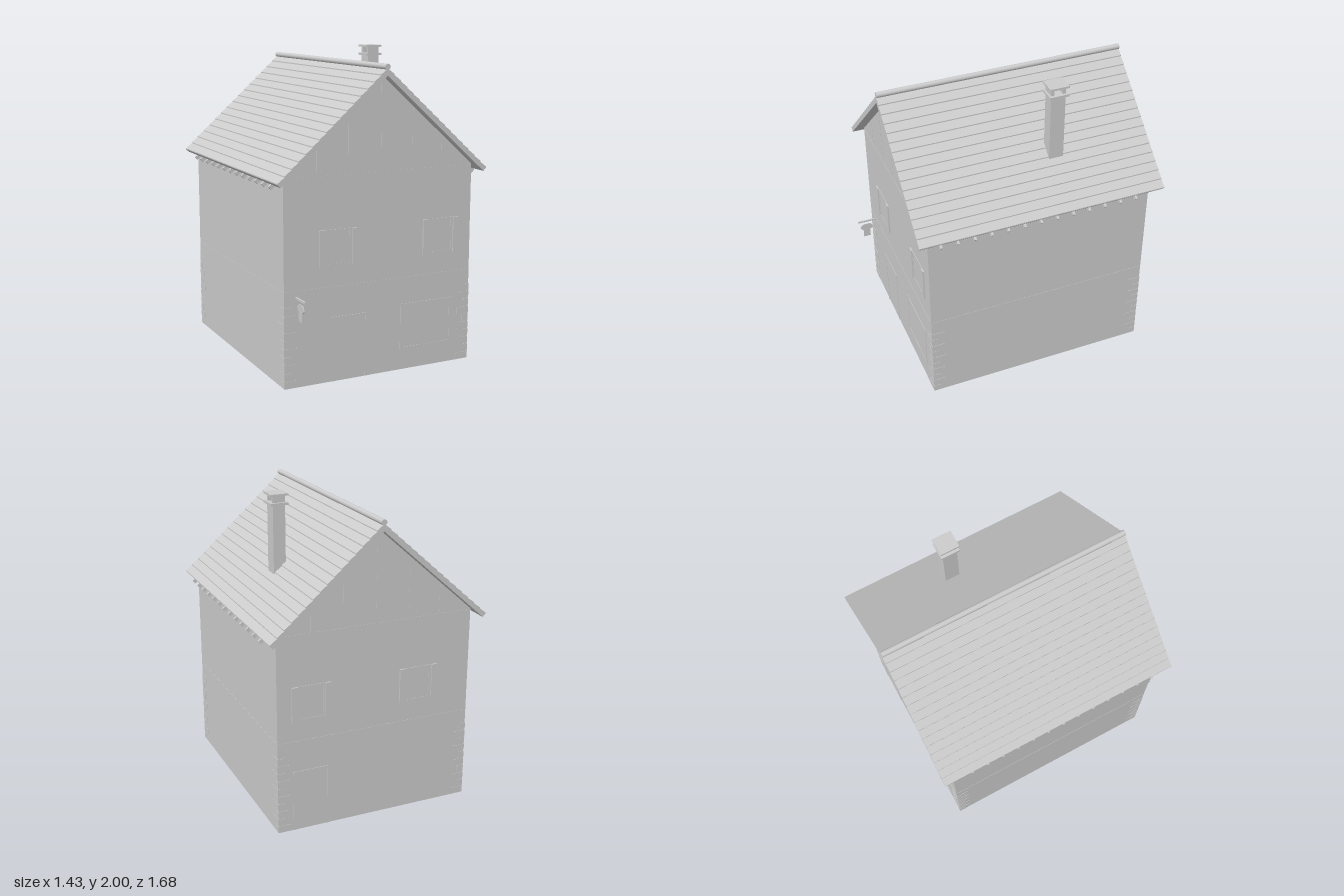
import * as THREE from 'three';

export function createModel() {
  const house = new THREE.Group();
  house.name = 'house';
  const grey = new THREE.MeshStandardMaterial({ color: 0xcccccc, side: THREE.DoubleSide });
  grey.name = 'plain grey';

  const W = 0.65, FRONT = 0.715, BACK = -0.765, T = 0.02;
  const MID = (FRONT + BACK) / 2, SLOPE = 0.887, PEAK = 1.862;

  function add(name, geometry, parent = house) {
    const mesh = new THREE.Mesh(geometry, grey);
    mesh.name = name;
    parent.add(mesh);
    return mesh;
  }
  // Box given by its lower and upper limits on each axis
  function box(name, x0, x1, y0, y1, z0, z1, parent) {
    const m = add(name, new THREE.BoxGeometry(x1 - x0, y1 - y0, z1 - z0), parent);
    m.position.set((x0 + x1) / 2, (y0 + y1) / 2, (z0 + z1) / 2);
    return m;
  }
  function extrude(points, depth) {
    const shape = new THREE.Shape(points.map(([x, y]) => new THREE.Vector2(x, y)));
    return new THREE.ExtrudeGeometry(shape, { depth, bevelEnabled: false });
  }

  // Hollow walls, open underneath
  const eave = PEAK - SLOPE * W;
  const gable = [[-W, 0], [W, 0], [W, eave], [0, PEAK], [-W, eave]];
  add('frontWall', extrude(gable, T)).position.z = FRONT - T;
  add('backWall', extrude(gable, T)).position.z = BACK;
  for (const s of [-1, 1]) {
    const a = s * W, b = s * (W - T);
    box('sideWall', Math.min(a, b), Math.max(a, b), 0, eave, BACK + T, FRONT - T);
    // Ledge carrying the upper floor
    const c = s * (W - T - 0.02);
    box('sideLedge', Math.min(b, c), Math.max(b, c), 0.57, 0.6, BACK + T, FRONT - T);
  }
  box('frontLedge', -W + T, W - T, 0.57, 0.6, FRONT - T - 0.02, FRONT - T);
  box('backLedge', -W + T, W - T, 0.57, 0.6, BACK + T, BACK + T + 0.02);

  // Hairline joints between storeys and on the gables
  for (const [z, name] of [[FRONT, 'frontJoint'], [BACK, 'backJoint']]) {
    for (const y of [0.6, 1.28]) box(name, -W + 0.01, W - 0.01, y - 0.003, y + 0.003, z - 0.0015, z + 0.0015);
    for (const x of [-0.43, -0.22, 0, 0.22, 0.43])
      box(name, x - 0.003, x + 0.003, 1.28, PEAK - SLOPE * Math.abs(x) - 0.005, z - 0.0015, z + 0.0015);
  }
  for (const s of [-1, 1])
    box('sideJoint', s * W - 0.0015, s * W + 0.0015, 0.597, 0.603, BACK + 0.01, FRONT - 0.01);

  // Frame and panel set through a wall; dir is the outward z direction
  function opening(name, x0, x1, y0, y1, z, dir, inner) {
    const g = new THREE.Group();
    g.name = name;
    house.add(g);
    const out = z + dir * 0.003, inn = z - dir * inner;
    const a = Math.min(out, inn), b = Math.max(out, inn), f = 0.015;
    box('leftJamb', x0, x0 + f, y0, y1, a, b, g);
    box('rightJamb', x1 - f, x1, y0, y1, a, b, g);
    box('lintel', x0 + f, x1 - f, y1 - f, y1, a, b, g);
    if (y0 > 0) box('sill', x0 + f, x1 - f, y0, y0 + f, a, b, g);
    box('panel', x0 + f, x1 - f, y0, y1 - f, z - 0.001, z + 0.001, g);
  }
  opening('frontDoor', -0.34, -0.09, 0, 0.41, FRONT, 1, 0.04);
  opening('shopWindow', 0.145, 0.52, 0.13, 0.43, FRONT, 1, 0.04);
  opening('backDoor', 0.31, 0.55, 0, 0.4, BACK, -1, 0.04);

  // Upper windows with open shutters, front and back
  for (const [z, dir] of [[FRONT, 1], [BACK, -1]]) {
    for (const x of [-0.292, 0.428]) {
      opening('upperWindow', x - 0.092, x + 0.092, 0.73, 0.955, z, dir, 0.03);
      for (const s of [-1, 1]) {
        const c = x + s * 0.11;
        box('shutter', c - 0.018, c + 0.018, 0.73, 0.955, z - 0.01, z + 0.01);
      }
    }
  }

  // Alternating corner stones
  for (const sx of [-1, 1]) for (const [z, sz] of [[FRONT, 1], [BACK, -1]]) {
    for (let i = 0; i < 10; i++) {
      const lx = i % 2 ? 0.045 : 0.085, lz = i % 2 ? 0.085 : 0.045, e = 0.002;
      const stone = box('cornerStone', 0, lx, 0.003, 0.046, 0, lz);
      stone.position.set(sx * (W + e - lx / 2), 0.0245 + i * 0.051, z + sz * (e - lz / 2));
    }
  }

  // Roof halves with stepped tile courses along the top
  const ROWS = 16, EX = 0.715, EY = 1.265, TOP = 1.905;
  for (const s of [-1, 1]) {
    const pts = [[0, PEAK], [0, TOP]];
    for (let i = 1; i <= ROWS; i++) {
      const x = s * EX * i / ROWS, y = TOP + (EY - TOP) * i / ROWS;
      pts.push([x, y + 0.007], [x, y]);
    }
    pts.push([s * 0.695, PEAK - SLOPE * 0.695]);
    add('roofHalf', extrude(pts, 1.625)).position.z = -0.84;

    // Rafter tails under the eaves
    for (let i = 0; i < 13; i++) {
      const tail = add('rafterTail', new THREE.BoxGeometry(0.09, 0.025, 0.014));
      tail.position.set(s * 0.672, 1.254, (i - 6) * 0.108);
      tail.rotation.z = -s * Math.atan(SLOPE);
    }
  }
  // Ridge roll
  const ridge = add('ridgeCap', new THREE.CylinderGeometry(0.018, 0.018, 1.625, 16));
  ridge.rotation.x = Math.PI / 2;
  ridge.position.set(0, 1.915, -0.0275);

  // Chimney with a raised cover
  const chimney = new THREE.Group();
  chimney.name = 'chimney';
  house.add(chimney);
  box('stack', 0.375, 0.455, 1.48, 1.93, -0.25, -0.155, chimney);
  box('collar', 0.357, 0.473, 1.93, 1.945, -0.265, -0.142, chimney);
  for (const z of [-0.24, -0.165])
    box('coverSupport', 0.375, 0.455, 1.945, 1.987, z - 0.01, z + 0.01, chimney);
  box('cover', 0.357, 0.473, 1.987, 2, -0.265, -0.142, chimney);

  // Hanging sign cut like a short-sleeved shirt
  const sign = new THREE.Group();
  sign.name = 'hangingSign';
  house.add(sign);
  box('signRod', -0.575, -0.565, 0.557, 0.568, FRONT - 0.01, 0.84, sign);
  const half = [[0.024, 0.43], [0.024, 0.487], [0.032, 0.493], [0.046, 0.505], [0.036, 0.528], [0.018, 0.536]];
  const shirt = [...half, ...half.map(([x, y]) => [-x, y]).reverse()];
  const plate = add('signPlate', extrude(shirt, 0.006), sign);
  plate.rotation.y = -Math.PI / 2;
  plate.position.set(-0.567, 0, 0.78);

  return house;
}
